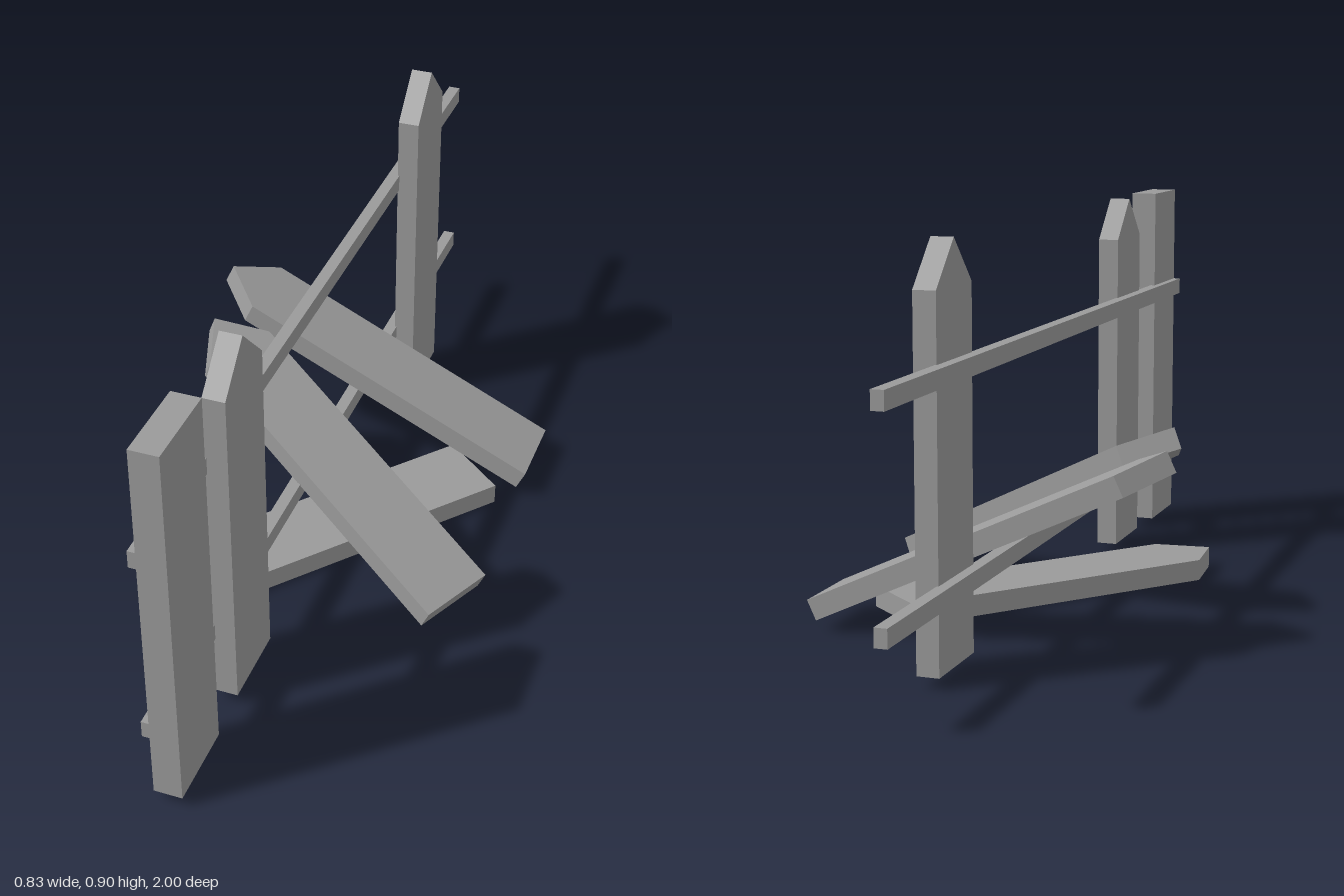
import * as THREE from 'three';

const WIDTH = 0.19, LENGTH = 0.88, SHOULDER = 0.783, THICK = 0.05;
const DEG = Math.PI / 180;

export function createModel() {
  const fence = new THREE.Group();
  fence.name = 'brokenPicketFence';
  const material = new THREE.MeshStandardMaterial({ color: 0x9a9a9a, flatShading: true });

  const add = (name, geometry) => {
    const mesh = new THREE.Mesh(geometry, material);
    mesh.name = name;
    fence.add(mesh);
    return mesh;
  };

  // Pointed board outline, extruded to the board thickness
  const outline = new THREE.Shape([
    [-WIDTH / 2, 0], [WIDTH / 2, 0], [WIDTH / 2, SHOULDER], [0, LENGTH], [-WIDTH / 2, SHOULDER],
  ].map(([x, y]) => new THREE.Vector2(x, y)));
  const picketGeometry = new THREE.ExtrudeGeometry(outline, { depth: THICK, bevelEnabled: false });

  // Places a picket by the middle of its foot, its long direction and its face direction
  const addPicket = (name, foot, along, face) => {
    const y = new THREE.Vector3(...along).normalize();
    const z = new THREE.Vector3(...face).normalize();
    const x = new THREE.Vector3().crossVectors(y, z);
    const mesh = add(name, picketGeometry);
    mesh.quaternion.setFromRotationMatrix(new THREE.Matrix4().makeBasis(x, y, z));
    mesh.position.set(...foot);
  };

  // A picket leaning on the lower rail, turned by yaw about the vertical
  const addLeaning = (name, foot, yaw, tilt = 25 * DEG) => {
    const [c, s] = [Math.cos(tilt), Math.sin(tilt)];
    const [cy, sy] = [Math.cos(yaw), Math.sin(yaw)];
    addPicket(name, foot, [-c * cy, s, -c * sy], [s * cy, c, s * sy]);
  };

  // Long rails
  for (const [name, y] of [['lowerRail', 0.196], ['upperRail', 0.642]]) {
    add(name, new THREE.BoxGeometry(0.028, 0.04, 2)).position.set(-0.048, y, 0);
  }

  // Square-topped end post
  add('endPost', new THREE.BoxGeometry(0.064, LENGTH, WIDTH)).position.set(-0.013, 0.465, 0.905);

  // Pickets still standing
  addPicket('frontStandingPicket', [-0.038, 0.025, 0.595], [0, 1, 0], [1, 0, 0]);
  addPicket('backStandingPicket', [-0.038, 0.025, -0.599], [0, 1, 0], [1, 0, 0]);

  // Pickets that came loose
  addLeaning('straightLeaningPicket', [0.38, 0.025, -0.302], 0);
  addLeaning('turnedLeaningPicket', [0.358, 0.031, 0.265], 25 * DEG);
  addPicket('fallenPicket', [0.266, 0, -0.225], [-0.64, 0, 0.768], [0, 1, 0]);

  return fence;
}
